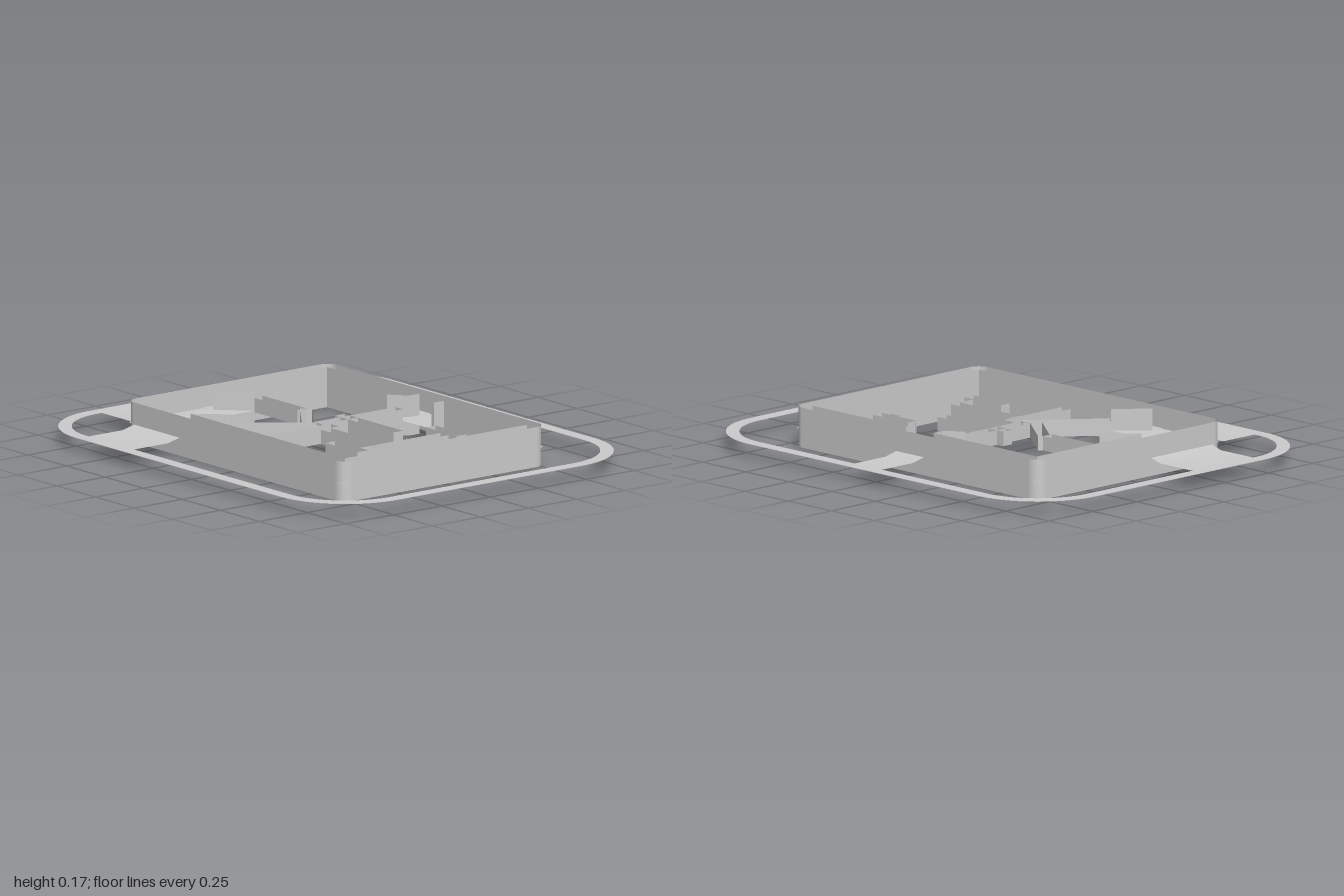
import * as THREE from 'three';

const grey = new THREE.MeshStandardMaterial({ color: 0xcccccc, side: THREE.DoubleSide });

function add(group, name, geometry) {
  const mesh = new THREE.Mesh(geometry, grey);
  mesh.name = name;
  group.add(mesh);
}

// Rounded rectangle in plan (shape y = -z), counter-clockwise
function roundedRect(w, d, r, Type = THREE.Shape) {
  const s = new Type();
  s.absarc(w - r, d - r, r, 0, Math.PI / 2);
  s.absarc(-w + r, d - r, r, Math.PI / 2, Math.PI);
  s.absarc(-w + r, -d + r, r, Math.PI, Math.PI * 1.5);
  s.absarc(w - r, -d + r, r, Math.PI * 1.5, Math.PI * 2);
  s.closePath();
  return s;
}

// Vertical faces along a plan path of [x, z]
function curtain(path, y0, y1) {
  const pos = [];
  for (let i = 0; i < path.length - 1; i++) {
    const [ax, az] = path[i], [bx, bz] = path[i + 1];
    pos.push(ax, y0, az, bx, y0, bz, bx, y1, bz, ax, y0, az, bx, y1, bz, ax, y1, az);
  }
  const g = new THREE.BufferGeometry();
  g.setAttribute('position', new THREE.Float32BufferAttribute(pos, 3));
  g.computeVertexNormals();
  return g;
}

// Sheet through rows of paired edge points, in order left to right seen along the rows from above
function loft(rows) {
  const pos = [], index = [];
  rows.forEach(([a, b], i) => {
    pos.push(...a, ...b);
    const k = i * 2;
    if (i) index.push(k - 2, k - 1, k + 1, k - 2, k + 1, k);
  });
  const g = new THREE.BufferGeometry();
  g.setAttribute('position', new THREE.Float32BufferAttribute(pos, 3));
  g.setIndex(index);
  g.computeVertexNormals();
  return g;
}

// Open-topped sleeve around a straight run
function sleeve([ax, az], [bx, bz], width, y0, y1) {
  const len = Math.hypot(bx - ax, bz - az);
  const nx = -(bz - az) / len * width / 2, nz = (bx - ax) / len * width / 2;
  return curtain([
    [ax + nx, az + nz], [bx + nx, bz + nz], [bx - nx, bz - nz],
    [ax - nx, az - nz], [ax + nx, az + nz],
  ], y0, y1);
}

export function createModel() {
  const model = new THREE.Group();
  model.name = 'walledCourt';
  const H = 0.167, G = 0.061, R = 0.077;

  // Flat border path
  const border = roundedRect(1, 0.82, 0.34);
  border.holes.push(roundedRect(0.945, 0.765, 0.285, THREE.Path));
  add(model, 'borderPath', new THREE.ExtrudeGeometry(border, { depth: 0.002, bevelEnabled: false, curveSegments: 12 })
    .rotateX(-Math.PI / 2).translate(0, G - 0.002, 0));

  // Outer wall face, all the way round
  const plan = roundedRect(0.705, 0.528, 0.05).getPoints(8).map((p) => [p.x, -p.y]);
  plan.push(plan[0]);
  add(model, 'outerWall', curtain(plan, 0, H));

  // Inner wall faces, turning inward beside the crossings
  const x = 0.65, z = 0.473;
  add(model, 'innerWall', curtain([[-0.24, 0.35], [-0.355, z], [x, z], [x, -z],
    [0.11, -z], [0.11, -0.42], [0.17, -0.36]], 0, H));
  add(model, 'innerWall', curtain([[-0.12, -0.36], [-0.05, -0.42], [-0.05, -z], [-x, -z],
    [-x, 0.12], [-0.53, 0]], 0, H));

  // Walkway floor sunk between the walls; four numbers make a rounded corner
  const walkway = (pts) => {
    const s = new THREE.Shape();
    pts.forEach((p, i) => {
      if (!i) s.moveTo(p[0], -p[1]);
      else if (p.length === 4) s.quadraticCurveTo(p[0], -p[1], p[2], -p[3]);
      else s.lineTo(p[0], -p[1]);
    });
    add(model, 'walkway', new THREE.ShapeGeometry(s, 12).rotateX(-Math.PI / 2).translate(0, R, 0));
  };
  const X = 0.705, Z = 0.528, r = 0.045;
  walkway([[-0.355, Z], [X - r, Z], [X, Z, X, Z - r], [X, -Z + r], [X, -Z, X - r, -Z],
    [0.11, -Z], [0.11, -z], [x, -z], [x, z], [-0.355, z]]);
  walkway([[-0.05, -Z], [-X + r, -Z], [-X, -Z, -X, -Z + r], [-X, 0.12], [-x, 0.12], [-x, -z], [-0.05, -z]]);
  walkway([[-X, 0.465], [-X, Z - r], [-X, Z, -X + r, Z], [-x, Z], [-x, 0.465]]);

  // Crossings that rise at the wall and flare out inside
  const alongZ = (rows) => loft(rows.map(([d, y, a, b]) => [[a, y, d], [b, y, d]]));
  const alongX = (rows) => loft(rows.map(([d, y, a, b]) => [[d, y, b], [d, y, a]]));
  add(model, 'frontRamp', alongZ([[0.77, G, -0.65, -0.355], [0.59, G, -0.65, -0.355],
    [0.52, R, -0.65, -0.355], [0.47, R, -0.65, -0.355], [0.35, R, -0.53, -0.24]]));
  add(model, 'rightRamp', alongX([[-0.95, G, 0.12, 0.465], [-0.76, G, 0.12, 0.465],
    [-0.7, R, 0.12, 0.467], [-0.65, R, 0.12, 0.47], [-0.53, R, 0, 0.35]]));
  add(model, 'backRamp', alongZ([[-0.36, R, -0.12, 0.17], [-0.42, R, -0.05, 0.11],
    [-0.52, R, -0.05, 0.11], [-0.59, G, -0.05, 0.11], [-0.77, G, -0.05, 0.11]]));

  // Open-topped low walls inside the court
  const runs = [
    [[-0.56, -0.04], [-0.27, -0.04]], [[-0.27, -0.06], [-0.07, 0.09]],
    [[-0.25, 0.34], [-0.02, 0.06]], [[-0.04, -0.36], [-0.04, 0.06]],
    [[-0.1, -0.1], [0.28, -0.1]], [[0.03, 0.03], [0.03, 0.36]],
    [[0.06, 0.1], [0.41, 0.1]], [[0.25, 0.23], [0.46, 0.23]],
    [[0.43, -0.22], [0.43, 0.2]], [[0.29, -0.26], [0.49, -0.26]],
  ];
  runs.forEach(([a, b]) => add(model, 'lowWall', sleeve(a, b, 0.05, 0.065, 0.125)));

  return model;
}
